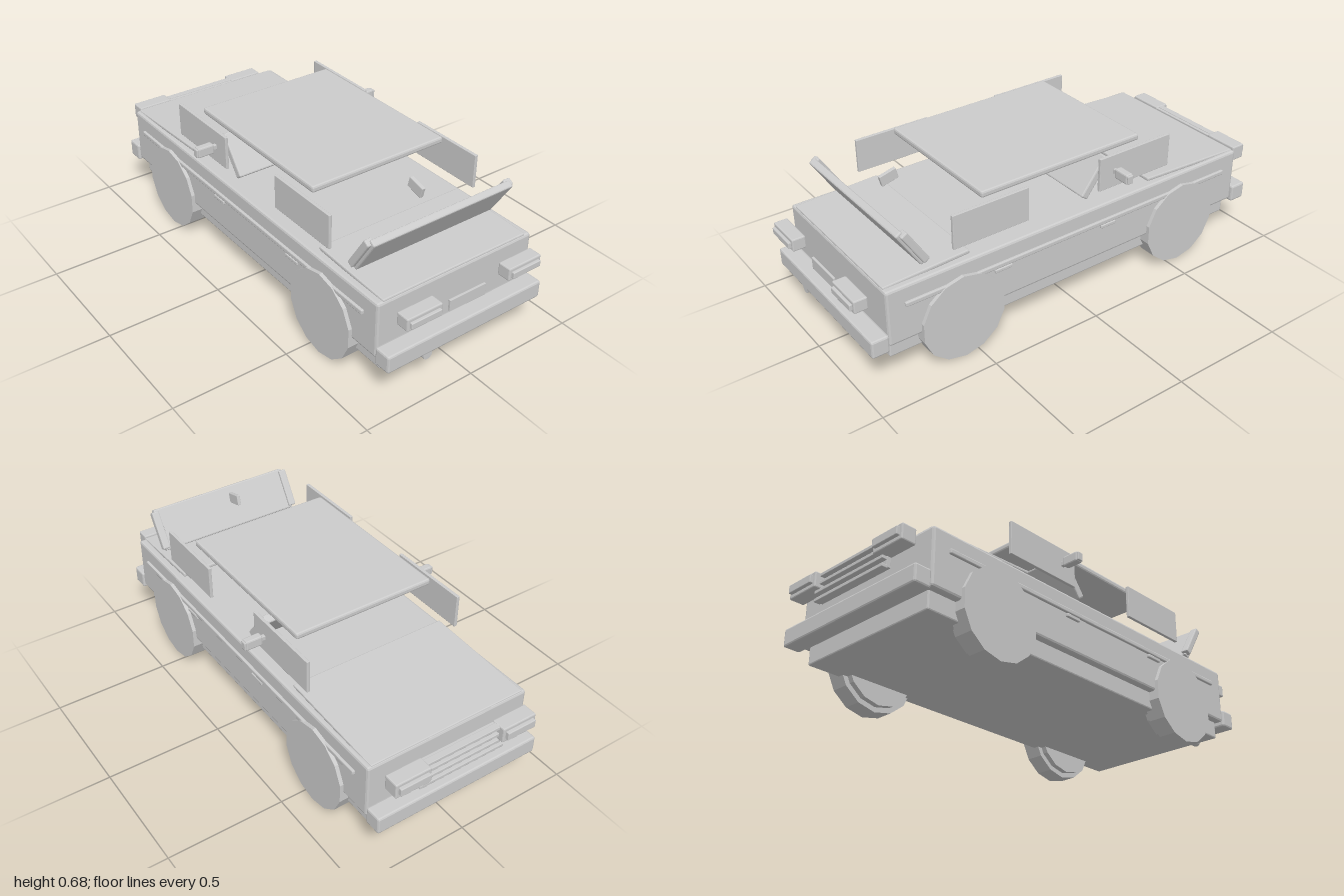
import * as THREE from 'three';
import { RoundedBoxGeometry } from 'three/addons/geometries/RoundedBoxGeometry.js';

const material = new THREE.MeshStandardMaterial({ color: 0xcccccc, flatShading: true });

export function createModel() {
  const car = new THREE.Group();
  car.name = 'car';

  function add(name, geometry, x, y, z, tilt = 0) {
    const mesh = new THREE.Mesh(geometry, material);
    mesh.name = name;
    mesh.position.set(x, y, z);
    mesh.rotation.x = tilt;
    car.add(mesh);
    return mesh;
  }

  // Bevelled box given by its lower and upper limits on each axis
  function block(name, [x0, x1], [y0, y1], [z0, z1], bevel = 0.006, tilt = 0) {
    const w = x1 - x0, h = y1 - y0, d = z1 - z0;
    const r = Math.min(bevel, Math.min(w, h, d) * 0.3);
    return add(name, new RoundedBoxGeometry(w, h, d, 1, r),
      (x0 + x1) / 2, (y0 + y1) / 2, (z0 + z1) / 2, tilt);
  }

  // The same box on both sides
  function pair(name, [x0, x1], y, z, bevel, tilt) {
    block('left' + name, [x0, x1], y, z, bevel, tilt);
    block('right' + name, [-x1, -x0], y, z, bevel, tilt);
  }

  // Body
  block('body', [-0.375, 0.375], [0.18, 0.423], [-0.88, 0.885], 0.01);
  block('sill', [-0.343, 0.343], [0.105, 0.2], [-0.865, 0.87]);
  block('frontBumper', [-0.38, 0.38], [0.162, 0.238], [-0.96, -0.885], 0.008);
  block('rearBumper', [-0.38, 0.38], [0.162, 0.238], [0.885, 0.96], 0.008);
  block('hood', [-0.358, 0.358], [0.423, 0.438], [-0.875, -0.378], 0.005, -0.045);
  block('trunkLid', [-0.347, 0.347], [0.42, 0.437], [0.505, 0.88], 0.005, 0.04);
  block('roof', [-0.32, 0.32], [0.624, 0.652], [-0.348, 0.428], 0.008);

  // Windscreens and their posts
  add('windshield', new RoundedBoxGeometry(0.69, 0.19, 0.036, 1, 0.006), 0, 0.54, -0.105, -0.65);
  add('rearWindow', new RoundedBoxGeometry(0.67, 0.188, 0.03, 1, 0.006), 0, 0.537, 0.745, 0.56);
  for (const s of [-1, 1]) {
    add('rearWindowPost', new RoundedBoxGeometry(0.035, 0.17, 0.03, 1, 0.005), s * 0.333, 0.543, 0.735, 0.56);
  }
  block('antenna', [-0.008, 0.008], [0.62, 0.665], [0.6, 0.675], 0.002, 0.25);

  // Side windows
  pair('FrontSideWindow', [0.349, 0.363], [0.482, 0.628], [-0.48, -0.11], 0.002);
  pair('RearSideWindow', [0.349, 0.363], [0.482, 0.628], [0.24, 0.585], 0.002);

  // Mirrors
  pair('MirrorArm', [0.355, 0.385], [0.545, 0.565], [-0.195, -0.178], 0.002);
  pair('Mirror', [0.38, 0.453], [0.534, 0.577], [-0.203, -0.17], 0.006);
  pair('MirrorCap', [0.45, 0.46], [0.537, 0.573], [-0.2, -0.173], 0.003);

  // Side trim and door handles
  pair('SideTrim', [0.37, 0.386], [0.335, 0.355], [-0.805, 0.81], 0.004);
  pair('FrontDoorHandle', [0.37, 0.386], [0.317, 0.332], [-0.185, -0.11], 0.003);
  pair('RearDoorHandle', [0.37, 0.386], [0.317, 0.332], [0.335, 0.415], 0.003);

  // Lamps
  pair('TailLight', [0.163, 0.326], [0.348, 0.402], [0.93, 0.988], 0.005);
  pair('TailLens', [0.175, 0.315], [0.36, 0.387], [0.98, 1.0], 0.003);
  pair('Headlight', [0.17, 0.33], [0.338, 0.405], [-0.985, -0.92], 0.005);
  pair('HeadlightLens', [0.182, 0.318], [0.355, 0.39], [-1.0, -0.978], 0.003);
  block('rearPlate', [-0.088, 0.088], [0.3, 0.35], [0.938, 0.948], 0.001);

  // Grille
  block('grillePanel', [-0.2, 0.2], [0.295, 0.4], [-0.942, -0.922], 0.002);
  for (let i = 0; i < 4; i++) {
    const y = 0.29 + i * 0.033;
    block('grilleBar', [-0.2, 0.2], [y, y + 0.014], [-0.963, -0.935], 0.002);
  }

  // Exhaust
  const pipe = new THREE.CylinderGeometry(0.021, 0.021, 0.1, 14).rotateX(Math.PI / 2);
  add('exhaust', pipe, -0.183, 0.148, 0.9);

  // Wheels with narrower inner hubs
  const tyre = new THREE.CylinderGeometry(0.187, 0.187, 0.078, 14).rotateZ(Math.PI / 2);
  const hub = new THREE.CylinderGeometry(0.165, 0.165, 0.04, 14).rotateZ(Math.PI / 2);
  for (const s of [-1, 1]) {
    for (const z of [-0.556, 0.563]) {
      // Half a side of turn sets the wheel on a flat
      const end = z < 0 ? 'front' : 'rear';
      add(end + 'Wheel', tyre, s * 0.352, 0.183, z, Math.PI / 2);
      add(end + 'Hub', hub, s * 0.308, 0.183, z, Math.PI / 2);
    }
  }

  return car;
}
